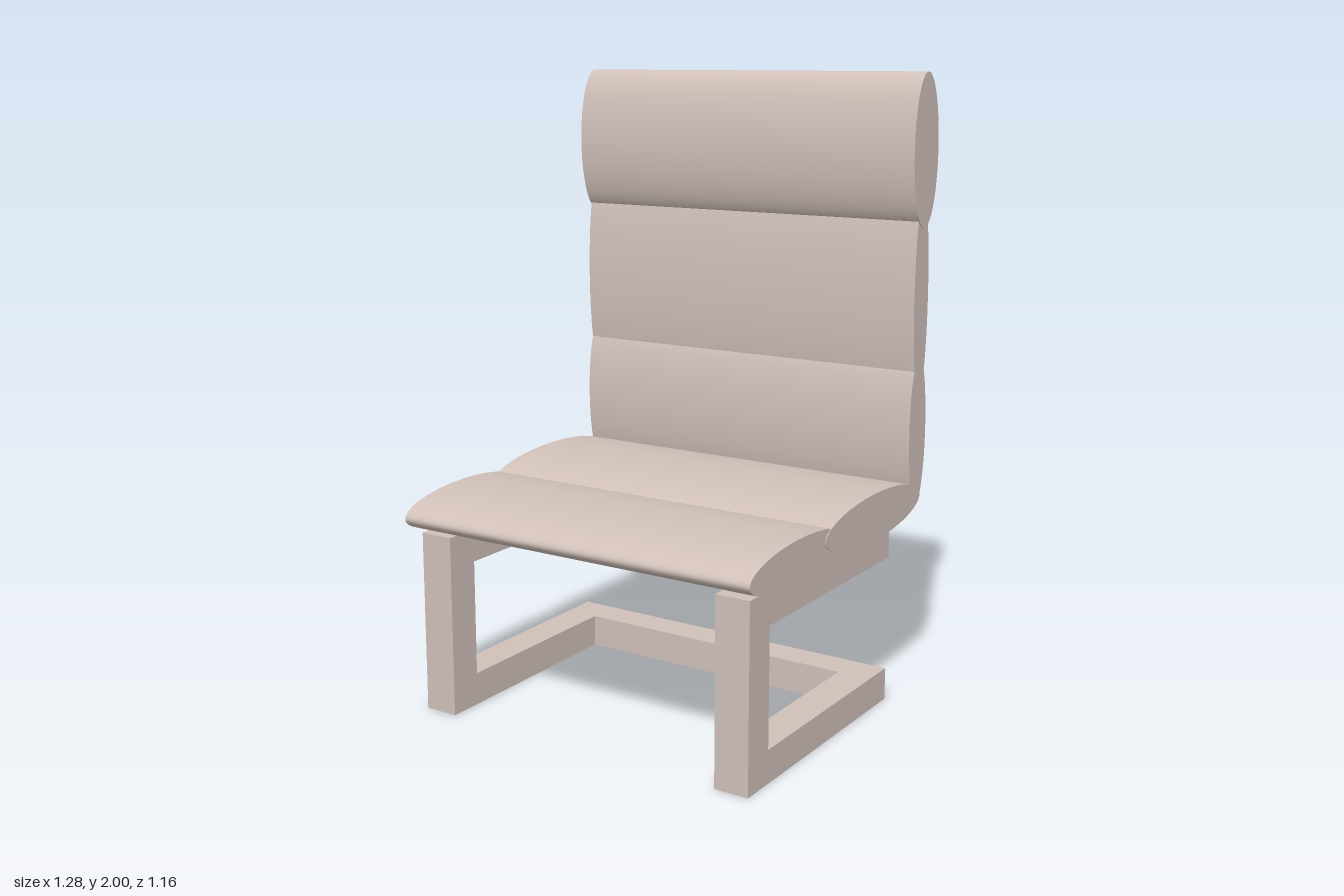
import * as THREE from 'three';

export function createModel() {
  const model = new THREE.Group();
  model.name = 'chair';
  const material = new THREE.MeshStandardMaterial({ color: 0xd0c0b9 });

  // Padded rolls: elliptical cylinders lying across the chair
  const roll = new THREE.CylinderGeometry(1, 1, 1, 72).rotateZ(Math.PI / 2);
  const cushions = new THREE.Group();
  cushions.name = 'cushions';
  cushions.rotation.z = 0.004;
  function addCushion(name, width, y, z, radiusY, radiusZ) {
    const mesh = new THREE.Mesh(roll, material);
    mesh.name = name;
    mesh.scale.set(width, radiusY, radiusZ);
    mesh.position.set(0, y, z);
    cushions.add(mesh);
  }
  addCushion('seatFrontCushion', 1.24, 0.643, 0.285, 0.068, 0.28);
  addCushion('seatRearCushion', 1.245, 0.66, -0.185, 0.075, 0.32);
  addCushion('lowerBackCushion', 1.245, 0.875, -0.475, 0.24, 0.059);
  addCushion('middleBackCushion', 1.245, 1.3, -0.476, 0.32, 0.05);
  addCushion('headrestCushion', 1.252, 1.76, -0.479, 0.238, 0.086);

  // Cantilever frame of square bars
  const frame = new THREE.Group();
  frame.name = 'frame';
  frame.position.x = -0.012;
  const bar = 0.112, barY = 0.105, half = 0.595, height = 0.585;
  const front = 0.505, back = -0.365;
  function addBar(name, w, h, d, x, y, z) {
    const mesh = new THREE.Mesh(new THREE.BoxGeometry(w, h, d), material);
    mesh.name = name;
    mesh.position.set(x, y, z);
    frame.add(mesh);
  }
  for (const [side, s] of [['left', 1], ['right', -1]]) {
    const x = s * (half - bar / 2);
    const railLength = front - bar - back;
    const railZ = (front - bar + back) / 2;
    addBar(side + 'FrontLeg', bar, height, bar, x, height / 2, front - bar / 2);
    addBar(side + 'SeatRail', bar, barY, railLength, x, height - barY / 2, railZ);
    addBar(side + 'FloorRail', bar, barY, railLength, x, barY / 2, railZ);
  }
  addBar('rearFloorBar', 2 * (half - bar), barY, bar, 0, barY / 2, back + bar / 2);

  // The whole chair stands turned by a small angle
  const chair = new THREE.Group();
  chair.name = 'turnedChair';
  chair.rotation.y = 0.024;
  chair.add(cushions, frame);
  model.add(chair);
  return model;
}
